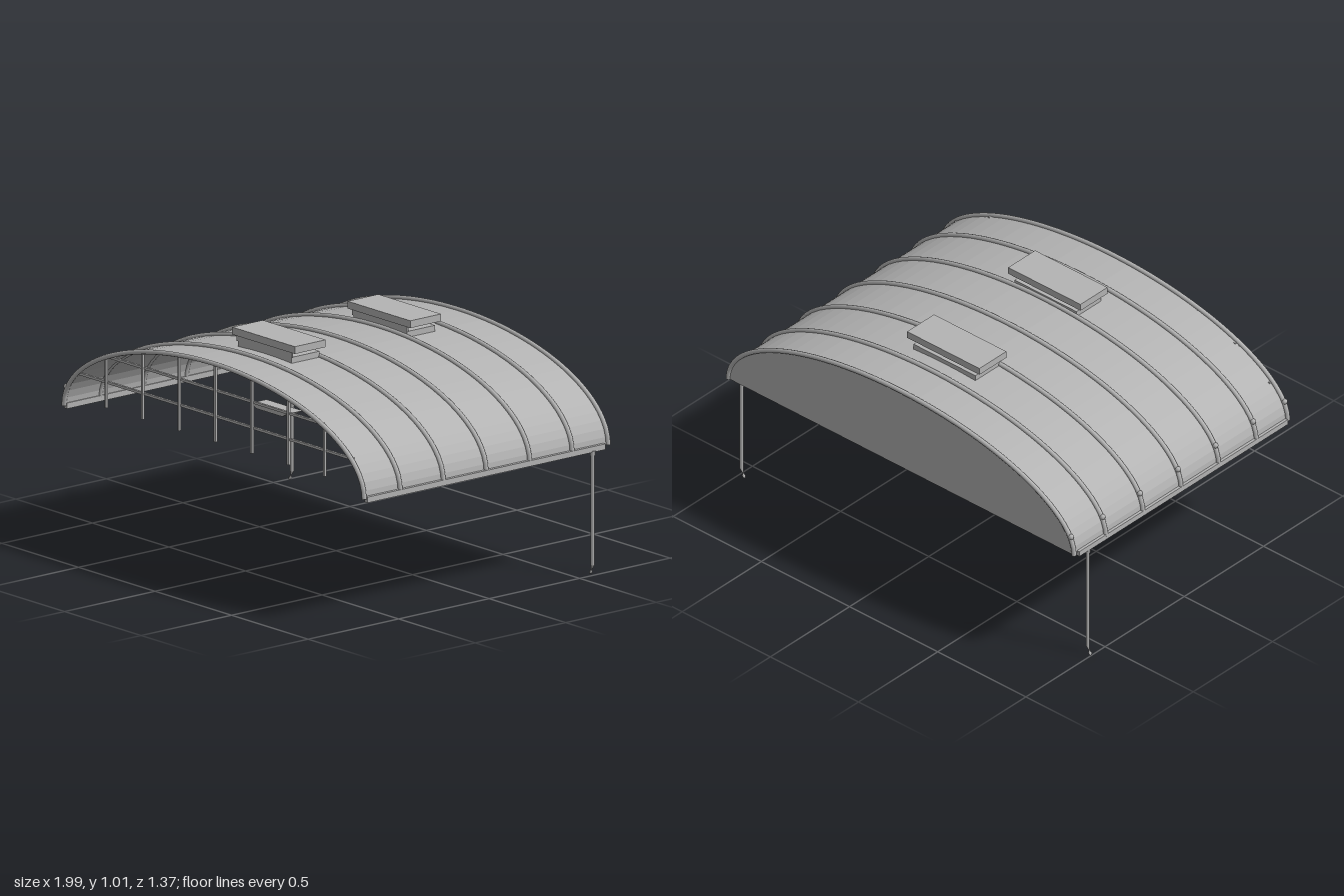
import * as THREE from 'three';

const BASE = 0.55;            // height of the eaves
const RX = 0.977, RY = 0.384; // half-ellipse of the roof
const SEG = 36;

// point on the arch, grown outward by g, t running from 0 (+x) to PI (-x)
const arch = (t, g = 0) => new THREE.Vector2((RX + g) * Math.cos(t), BASE + (RY + g) * Math.sin(t));
const archHeight = x => BASE + RY * Math.sqrt(1 - (x / RX) ** 2);
const archHalfWidth = y => RX * Math.sqrt(1 - ((y - BASE) / RY) ** 2);

export function createModel() {
  const model = new THREE.Group();
  const grey = new THREE.MeshStandardMaterial({ color: 0xb4b4b4, side: THREE.DoubleSide });
  grey.name = 'galvanised grey';

  const add = (name, geometry, x = 0, y = 0, z = 0, parent = model) => {
    const mesh = new THREE.Mesh(geometry, grey);
    mesh.name = name;
    mesh.position.set(x, y, z);
    parent.add(mesh);
    return mesh;
  };
  const box = (name, w, h, d, x, y, z, parent) => add(name, new THREE.BoxGeometry(w, h, d), x, y, z, parent);

  // curved roof shell, faceted across the span
  const roof = new THREE.PlaneGeometry(1, 1.35, SEG, 1).toNonIndexed();
  const p = roof.attributes.position;
  for (let i = 0; i < p.count; i++) {
    const v = arch((0.5 - p.getX(i)) * Math.PI);
    p.setXYZ(i, v.x, v.y, -p.getY(i));
  }
  roof.computeVertexNormals();
  add('roofShell', roof);

  // tubular ribs over the roof, each with a small clamp on one side
  for (const z of [-0.674, -0.475, -0.24, 0, 0.237, 0.475, 0.674]) {
    const points = [];
    for (let i = 0; i <= 24; i++) {
      const v = arch(Math.PI * i / 24, 0.004);
      points.push(new THREE.Vector3(v.x, v.y, z));
    }
    add('rib', new THREE.TubeGeometry(new THREE.CatmullRomCurve3(points), 64, 0.0105, 8));
    const c = arch(Math.PI - 0.22, 0.01);
    add('ribClamp', new THREE.SphereGeometry(0.013, 8, 6), c.x, c.y, z);
  }

  // closed back wall
  const outline = new THREE.Shape();
  for (let i = 0; i <= SEG; i++) {
    const v = arch(Math.PI * i / SEG);
    if (i) outline.lineTo(v.x, v.y); else outline.moveTo(v.x, v.y);
  }
  outline.closePath();
  add('backWall', new THREE.ExtrudeGeometry(outline, { depth: 0.01, bevelEnabled: false }), 0, 0, -0.675);

  // hanging bar grid in the front opening
  for (let i = -3; i <= 3; i++) {
    const x = i * 0.238 + 0.003, top = archHeight(x);
    box('verticalBar', 0.011, top - 0.595, 0.011, x, (top + 0.595) / 2, 0.668);
  }
  for (const y of [0.705, 0.818]) {
    const r = archHalfWidth(y);
    box('horizontalBar', 2 * r, 0.011, 0.011, 0, y, 0.66);
  }

  // gutters and downpipes
  for (const [gx, px] of [[-0.98, -0.978], [0.982, 0.985]]) {
    box('gutter', 0.018, 0.025, 1.315, gx, 0.5475, 0.0075);

    const pipe = new THREE.Group();
    pipe.name = 'downpipe';
    pipe.position.set(px, 0, -0.585);
    model.add(pipe);
    add('pipe', new THREE.CylinderGeometry(0.0085, 0.0085, 0.5, 10), 0, 0.29, 0, pipe);
    add('pipeCollar', new THREE.CylinderGeometry(0.011, 0.011, 0.02, 10), 0, 0.53, 0, pipe);
    // pinched, outward-leaning spout
    const profile = [[0.0085, 0.04], [0.003, 0.022], [0.003, 0.018], [0.008, 0.008], [0.005, 0]]
      .map(([r, y]) => new THREE.Vector2(r, y));
    const spout = new THREE.LatheGeometry(profile, 10);
    const s = spout.attributes.position;
    for (let i = 0; i < s.count; i++) s.setX(i, s.getX(i) - (0.04 - s.getY(i)) * 0.4);
    spout.computeVertexNormals();
    add('spout', spout, 0, 0, 0, pipe);
  }

  // roof vents: curb, narrow hinge strip and raised lid
  for (const z of [0.319, -0.319]) {
    const vent = new THREE.Group();
    vent.name = 'roofVent';
    vent.position.set(0.004, 0, z);
    model.add(vent);
    box('ventCurb', 0.35, 0.035, 0.155, 0, 0.936, 0, vent);
    box('ventHinge', 0.36, 0.026, 0.008, 0, 0.965, 0.077, vent);
    box('ventLid', 0.41, 0.032, 0.17, 0, 0.992, 0, vent);
  }

  // hanging lamps: flat plates tapering downward
  for (const z of [0.33, -0.14, -0.45]) {
    const lamp = new THREE.BoxGeometry(0.236, 0.018, 0.085).toNonIndexed();
    const l = lamp.attributes.position;
    for (let i = 0; i < l.count; i++) if (l.getY(i) < 0) l.setX(i, l.getX(i) * 0.72);
    lamp.computeVertexNormals();
    add('lamp', lamp, 0.004, 0.68, z);
  }

  return model;
}
